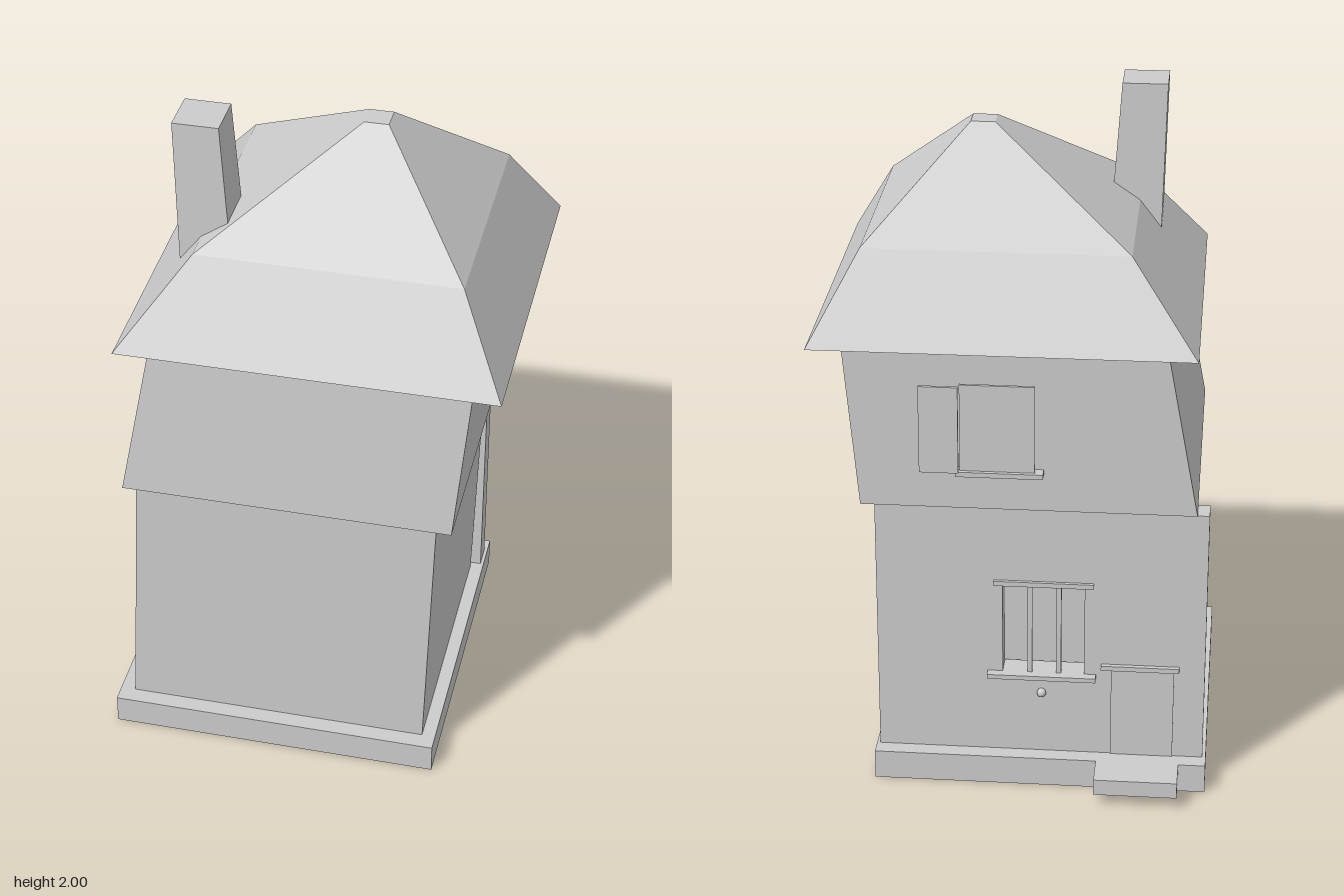
import * as THREE from 'three';

const plaster = new THREE.MeshStandardMaterial({ color: 0xcccccc });
plaster.name = 'light grey';

function add(group, name, geometry) {
  const mesh = new THREE.Mesh(geometry, plaster);
  mesh.name = name;
  group.add(mesh);
  return mesh;
}

// Box given by its minimum and maximum on each axis
function box(group, name, x0, x1, y0, y1, z0, z1) {
  const mesh = add(group, name, new THREE.BoxGeometry(x1 - x0, y1 - y0, z1 - z0));
  mesh.position.set((x0 + x1) / 2, (y0 + y1) / 2, (z0 + z1) / 2);
  return mesh;
}

// Closed solid through rectangular sections [y, x0, x1, z0, z1], bottom to top
function loft(group, name, sections) {
  const rings = sections.map(([y, x0, x1, z0, z1]) =>
    [[x0, y, z1], [x1, y, z1], [x1, y, z0], [x0, y, z0]]);
  const points = [];
  const quad = (a, b, c, d) => points.push(...a, ...b, ...c, ...a, ...c, ...d);
  for (let i = 0; i < rings.length - 1; i++) {
    for (let k = 0; k < 4; k++) {
      const n = (k + 1) % 4;
      quad(rings[i][k], rings[i][n], rings[i + 1][n], rings[i + 1][k]);
    }
  }
  const [a, b, c, d] = rings[0];
  quad(d, c, b, a);
  quad(...rings[rings.length - 1]);
  const geometry = new THREE.BufferGeometry();
  geometry.setAttribute('position', new THREE.Float32BufferAttribute(points, 3));
  geometry.computeVertexNormals();
  return add(group, name, geometry);
}

export function createModel() {
  const house = new THREE.Group();
  house.name = 'house';

  // Plinth and doorstep
  box(house, 'plinth', -0.575, 0.41, 0, 0.09, -0.44, 0.55);
  box(house, 'doorstep', -0.495, -0.25, 0.04, 0.09, -0.545, -0.44);

  // Leaning storeys
  loft(house, 'groundFloor', [
    [0.09, -0.53, 0.37, -0.305, 0.5],
    [0.89, -0.49, 0.395, -0.305, 0.5],
  ]);
  loft(house, 'upperFloor', [
    [0.89, -0.53, 0.44, -0.395, 0.505],
    [1.4, -0.435, 0.485, -0.395, 0.47],
  ]);

  // Back wall slab with the window opening
  const wall = new THREE.Shape([
    [-0.565, 0.09], [0.4, 0.09], [0.4, 0.89], [-0.565, 0.89],
  ].map(([x, y]) => new THREE.Vector2(x, y)));
  wall.holes.push(new THREE.Path([
    [-0.21, 0.355], [-0.21, 0.645], [0.03, 0.645], [0.03, 0.355],
  ].map(([x, y]) => new THREE.Vector2(x, y))));
  const slab = add(house, 'backWall',
    new THREE.ExtrudeGeometry(wall, { depth: 0.07, bevelEnabled: false }));
  slab.position.z = -0.39;

  // Barred window with lintel, sill and a small hanging knob
  const barred = new THREE.Group();
  barred.name = 'barredWindow';
  house.add(barred);
  box(barred, 'windowLintel', -0.237, 0.055, 0.643, 0.658, -0.4, -0.38);
  box(barred, 'windowSill', -0.245, 0.075, 0.342, 0.356, -0.417, -0.33);
  for (const x of [-0.135, -0.05]) {
    box(barred, 'windowBar', x - 0.007, x + 0.007, 0.356, 0.645, -0.39, -0.376);
  }
  const knob = add(barred, 'knob', new THREE.SphereGeometry(0.014, 10, 8));
  knob.position.set(-0.085, 0.29, -0.395);

  // Door
  box(house, 'door', -0.475, -0.29, 0.09, 0.378, -0.394, -0.388);
  box(house, 'doorLintel', -0.49, -0.26, 0.378, 0.393, -0.404, -0.385);

  // Upper window: pane, side shutter and sill
  box(house, 'upperPane', -0.066, 0.148, 1.02, 1.285, -0.42, -0.411);
  box(house, 'shutter', 0.15, 0.262, 1.02, 1.285, -0.441, -0.432);
  box(house, 'upperSill', -0.09, 0.16, 1.005, 1.02, -0.432, -0.39);

  // Two-pitch hipped roof with an off-centre cap
  loft(house, 'roof', [
    [1.4, -0.522, 0.572, -0.478, 0.547],
    [1.65, -0.328, 0.432, -0.33, 0.38],
    [1.93, 0.08, 0.15, -0.028, 0.043],
  ]);

  // Tapered chimney
  loft(house, 'chimney', [
    [1.5, -0.39, -0.237, 0.133, 0.29],
    [2, -0.402, -0.27, 0.145, 0.28],
  ]);

  return house;
}
